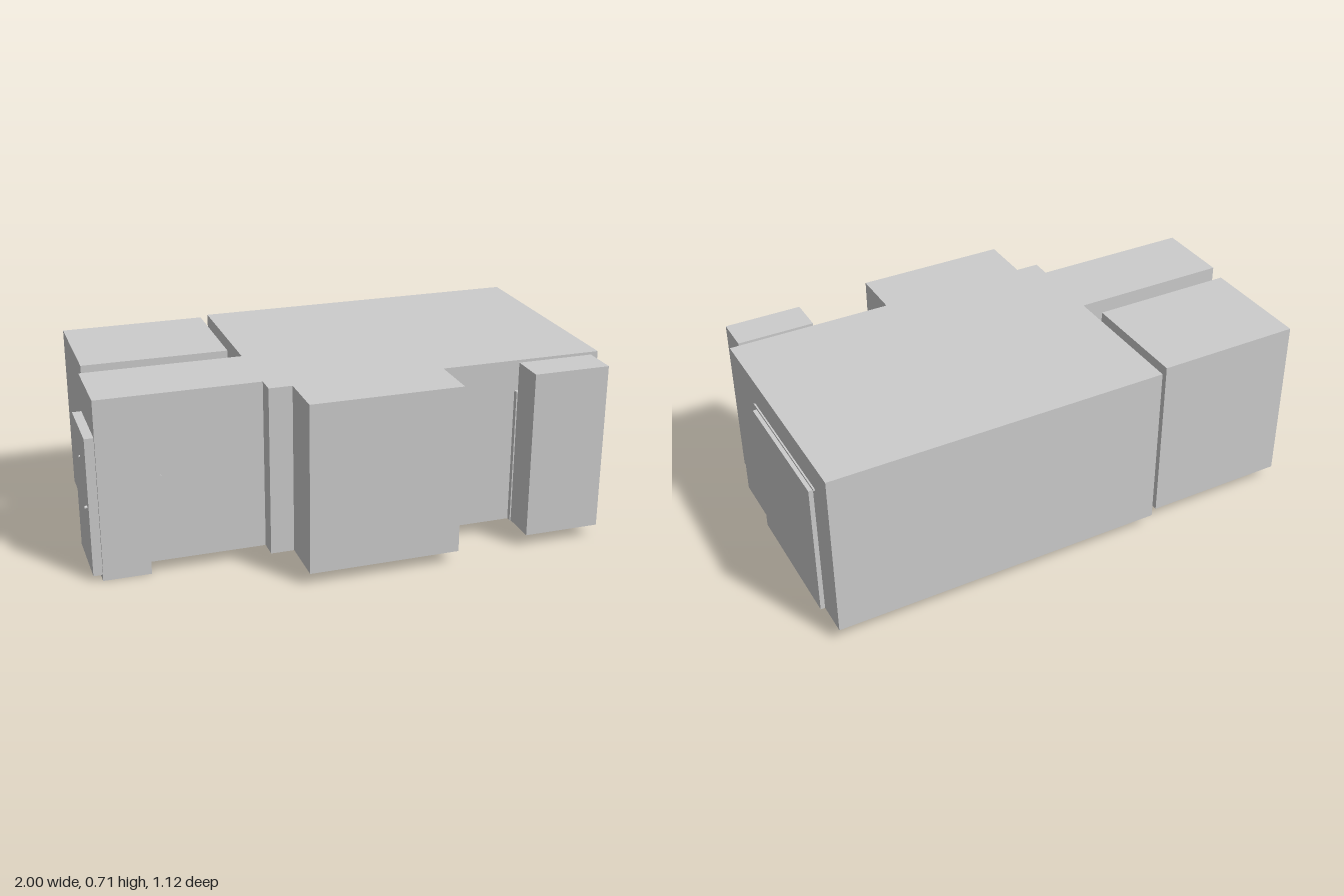
import * as THREE from 'three';

const material = new THREE.MeshStandardMaterial({ color: 0xcccccc, flatShading: true });

// Box given by its lower and upper limits on each axis
function block(name, [x0, x1], [y0, y1], [z0, z1]) {
  const mesh = new THREE.Mesh(new THREE.BoxGeometry(x1 - x0, y1 - y0, z1 - z0), material);
  mesh.name = name;
  mesh.position.set((x0 + x1) / 2, (y0 + y1) / 2, (z0 + z1) / 2);
  return mesh;
}

// Vertical prism over a footprint of [x, z] points
function prism(name, points, y0, y1) {
  const shape = new THREE.Shape(points.map(([x, z]) => new THREE.Vector2(x, -z)));
  const geometry = new THREE.ExtrudeGeometry(shape, { depth: y1 - y0, bevelEnabled: false });
  geometry.rotateX(-Math.PI / 2);
  const mesh = new THREE.Mesh(geometry, material);
  mesh.name = name;
  mesh.position.y = y0;
  return mesh;
}

// Short round stud; axis is 'x' or 'z'
function stud(name, x, y, z, radius, length, axis) {
  const mesh = new THREE.Mesh(new THREE.CylinderGeometry(radius, radius, length, 12), material);
  mesh.name = name;
  mesh.position.set(x, y, z);
  if (axis === 'x') mesh.rotation.z = Math.PI / 2;
  else mesh.rotation.x = Math.PI / 2;
  return mesh;
}

export function createModel() {
  const model = new THREE.Group();
  model.name = 'building';
  const base = 0.05, top = 0.71;

  // Main hall with the front bay and the entrance wing
  model.add(prism('mainBody', [
    [-0.335, -0.56], [-0.335, -0.01], [-0.955, -0.01], [-0.955, 0.285], [-0.335, 0.285],
    [-0.335, 0.36], [-0.245, 0.36], [-0.245, 0.56], [0.34, 0.56], [0.34, 0.36],
    [0.98, 0.36], [0.98, -0.56],
  ], base, top));

  // Step below the entrance wing
  model.add(block('entranceStep', [-0.957, -0.775], [0, base], [-0.005, 0.285]));

  // Detached rear room and its link to the wing
  model.add(block('rearRoom', [-0.935, -0.37], [base, top], [-0.535, -0.09]));
  model.add(block('rearLink', [-0.575, -0.37], [base, 0.6], [-0.09, -0.01]));

  // Front closet and its lower link to the hall
  model.add(block('frontCloset', [0.64, 0.94], [base, 0.707], [0.38, 0.52]));
  model.add(block('closetLink', [0.635, 0.94], [base, 0.59], [0.36, 0.38]));

  // Side shutter with a thin strip above it
  model.add(block('sideShutter', [0.98, 0.997], [base, 0.59], [-0.43, 0.105]));
  model.add(block('shutterStrip', [0.98, 0.986], [0.6, 0.608], [-0.45, 0.12]));

  // Entrance door with handle and peephole
  model.add(block('entranceDoor', [-0.99, -0.955], [0.02, 0.565], [0, 0.275]));
  model.add(stud('doorHandle', -0.995, 0.285, 0.24, 0.006, 0.01, 'x'));
  model.add(stud('peephole', -0.992, 0.445, 0.14, 0.004, 0.006, 'x'));

  // Small wall buttons on both sides of the wing
  model.add(stud('frontButton', -0.725, 0.39, 0.286, 0.006, 0.006, 'z'));
  model.add(stud('rearButton', -0.62, 0.39, -0.011, 0.006, 0.006, 'z'));

  return model;
}
